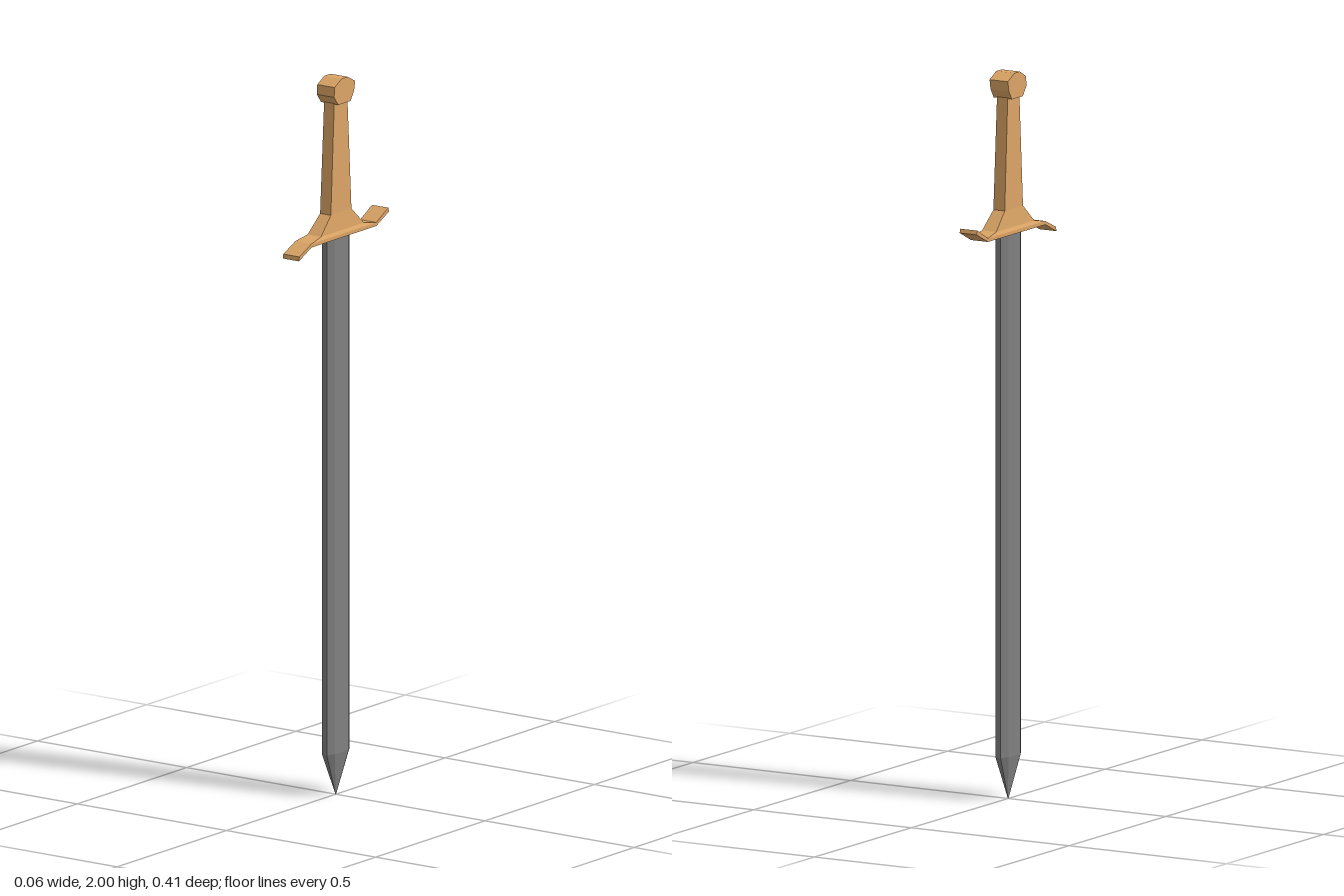
import * as THREE from 'three';

const wood = new THREE.MeshStandardMaterial({ color: 0xdca566, flatShading: true });
const steel = new THREE.MeshStandardMaterial({ color: 0x808080, flatShading: true });

// Skins a stack of equal-length horizontal rings (bottom to top) and caps both ends.
// Ring corners run from +z towards +x.
function loft(rings) {
  const n = rings[0].length;
  const index = [];
  for (let r = 0; r < rings.length - 1; r++) {
    for (let i = 0; i < n; i++) {
      const a = r * n + i, b = r * n + (i + 1) % n;
      index.push(a, b, b + n, a, b + n, a + n);
    }
  }
  const top = (rings.length - 1) * n;
  for (let i = 1; i < n - 1; i++) {
    index.push(0, i + 1, i, top, top + i, top + i + 1);
  }
  const geometry = new THREE.BufferGeometry();
  geometry.setAttribute('position', new THREE.Float32BufferAttribute(rings.flat(2), 3));
  geometry.setIndex(index);
  const flat = geometry.toNonIndexed();
  flat.computeVertexNormals();
  return flat;
}

const rectRing = (y, x, z) => [[-x, y, z], [x, y, z], [x, y, -z], [-x, y, -z]];

// Flat-faced blade section with bevelled edges
const bladeRing = (y, s) => [
  [-0.008, 0.052], [0.008, 0.052], [0.02, 0.032], [0.02, -0.032],
  [0.008, -0.052], [-0.008, -0.052], [-0.02, -0.032], [-0.02, 0.032],
].map(([x, z]) => [x * s, y, z * s]);

// Extrudes a side outline of [z, y] points across x
function sideExtrude(points, halfWidth) {
  const shape = new THREE.Shape(points.map(([z, y]) => new THREE.Vector2(-z, y)));
  const geometry = new THREE.ExtrudeGeometry(shape, { depth: halfWidth * 2, bevelEnabled: false });
  geometry.translate(0, 0, -halfWidth);
  geometry.rotateY(Math.PI / 2);
  return geometry;
}

export function createModel() {
  const group = new THREE.Group();
  const add = (name, geometry, material) => {
    const mesh = new THREE.Mesh(geometry, material);
    mesh.name = name;
    group.add(mesh);
  };

  // Blade with its point down
  add('blade', loft([bladeRing(0, 0.02), bladeRing(0.12, 1), bladeRing(1.56, 1)]), steel);

  // Grip flaring into the middle of the guard
  add('grip', loft([
    rectRing(1.557, 0.027, 0.148),
    rectRing(1.567, 0.027, 0.148),
    rectRing(1.576, 0.0225, 0.098),
    rectRing(1.625, 0.018, 0.047),
    rectRing(1.935, 0.017, 0.03),
  ]), wood);

  // Guard ends: one dips, the other rises
  add('loweredGuardEnd', sideExtrude(
    [[0.148, 1.557], [0.148, 1.567], [0.203, 1.542], [0.205, 1.53]], 0.027), wood);
  add('raisedGuardEnd', sideExtrude(
    [[-0.148, 1.557], [-0.148, 1.567], [-0.203, 1.597], [-0.207, 1.586]], 0.027), wood);

  // Faceted pommel
  add('pommel', sideExtrude([
    [-0.015, 2], [0.013, 2], [0.045, 1.982], [0.047, 1.955], [0.028, 1.93],
    [-0.028, 1.93], [-0.044, 1.955], [-0.049, 1.982],
  ], 0.029), wood);

  return group;
}
